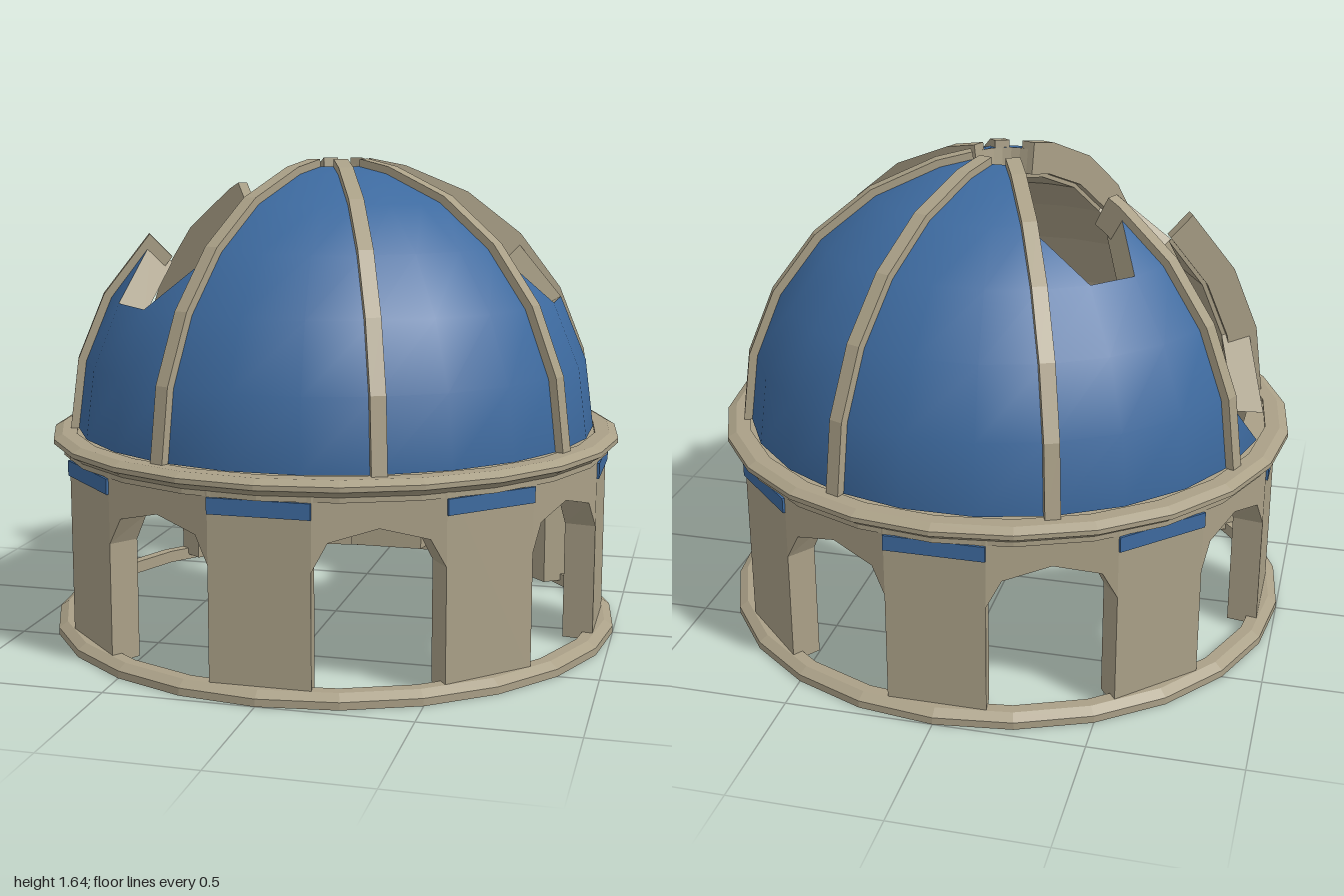
import * as THREE from 'three';

const RAD = Math.PI / 180;
const DOME_Y = 0.71, OUTER = 0.91, INNER = 0.81;
const ROWS = [0, 15, 30, 45, 60, 75, 82.5]; // elevations of the dome rows
const COLS = [-22.5, -7.5, 7.5, 22.5];      // bearings across one panel

const onSphere = (r, bearing, elev) => [
  r * Math.cos(elev * RAD) * Math.sin(bearing * RAD),
  r * Math.sin(elev * RAD),
  r * Math.cos(elev * RAD) * Math.cos(bearing * RAD),
];

// Triangles of one dome panel; from row `hole` upward the panel is broken away
function panelTriangles(hole) {
  const id = (row, col) => row * 4 + col;
  const tris = [];
  for (let r = 0; r < Math.min(hole, 6); r++) {
    for (let c = 0; c < 3; c++) {
      tris.push([id(r, c), id(r, c + 1), id(r + 1, c + 1)], [id(r, c), id(r + 1, c + 1), id(r + 1, c)]);
    }
  }
  if (hole < 6) {
    tris.push([id(hole, 0), id(hole, 1), id(hole + 1, 0)], [id(hole, 2), id(hole, 3), id(hole + 1, 3)]);
  }
  return tris;
}

// Outer skin with spherical normals, and the inner lining with broken edges
function panelGeometries(hole, bearing) {
  const tris = panelTriangles(hole);
  const at = (r, i) => onSphere(r, bearing + COLS[i % 4], ROWS[Math.floor(i / 4)]);
  const edges = new Set(tris.flatMap(([a, b, c]) => [`${a},${b}`, `${b},${c}`, `${c},${a}`]));
  const skin = [], lining = [];
  for (const [a, b, c] of tris) {
    skin.push(...at(OUTER, a), ...at(OUTER, b), ...at(OUTER, c));
    lining.push(...at(INNER, c), ...at(INNER, b), ...at(INNER, a));
    for (const [i, j] of [[a, b], [b, c], [c, a]]) {
      if (edges.has(`${j},${i}`)) continue;
      lining.push(...at(OUTER, j), ...at(OUTER, i), ...at(INNER, i));
      lining.push(...at(OUTER, j), ...at(INNER, i), ...at(INNER, j));
    }
  }
  const skinGeo = new THREE.BufferGeometry();
  skinGeo.setAttribute('position', new THREE.Float32BufferAttribute(skin, 3));
  skinGeo.setAttribute('normal', new THREE.Float32BufferAttribute(skin.map((v) => v / OUTER), 3));
  const liningGeo = new THREE.BufferGeometry();
  liningGeo.setAttribute('position', new THREE.Float32BufferAttribute(lining, 3));
  liningGeo.computeVertexNormals();
  return [skinGeo, liningGeo];
}

const shapeOf = (points) => new THREE.Shape(points.map(([x, y]) => new THREE.Vector2(x, y)));
const extrude = (points, depth) =>
  new THREE.ExtrudeGeometry(shapeOf(points), { depth, bevelEnabled: false });

// Curved rib following the dome up to a given elevation
function ribGeometry(end) {
  const steps = [0, 15, 30, 45, 60, 75].filter((e) => e < end - 2).concat(end);
  const arc = (r) => steps.map((e) => [r * Math.cos(e * RAD), r * Math.sin(e * RAD)]);
  return extrude([...arc(0.935), ...arc(0.825).reverse()], 0.05).translate(0, 0, -0.025);
}

// Faceted moulding ring from a closed profile
function ringGeometry(profile) {
  const pts = [...profile, profile[0]].map(([r, y]) => new THREE.Vector2(r, y));
  const geo = new THREE.LatheGeometry(pts, 24).toNonIndexed();
  geo.computeVertexNormals();
  return geo;
}

export function createModel() {
  const stone = new THREE.MeshStandardMaterial({ color: 0xaaa087 });
  stone.name = 'stone';
  const blue = new THREE.MeshStandardMaterial({ color: 0x3d6a9f });
  blue.name = 'blue roof';

  const model = new THREE.Group();
  model.name = 'ruinedRotunda';
  const add = (name, geo, mat, parent = model) => {
    const mesh = new THREE.Mesh(geo, mat);
    mesh.name = name;
    parent.add(mesh);
    return mesh;
  };

  // Base ring and cornice
  add('baseRing', ringGeometry([[0.93, 0], [1, 0], [1, 0.025], [0.97, 0.045], [0.93, 0.045]]), stone);
  add('cornice', ringGeometry([
    [0.92, 0.638], [0.965, 0.638], [0.965, 0.655], [0.975, 0.664],
    [1, 0.678], [1, 0.694], [0.97, 0.71], [0.92, 0.71],
  ]), stone);

  // Drum: eight piers alternating with eight arches
  const FACE = 0.945, HALF = 0.165, K = 0.89, TOP = 0.7, BOTTOM = 0.02;
  const corner = Math.hypot(FACE, HALF);
  const archAngle = 22.5 * RAD - Math.atan2(HALF, FACE);
  const w = corner * Math.sin(archAngle), archFace = corner * Math.cos(archAngle);

  const pierGeo = extrude([[-HALF, -FACE], [HALF, -FACE], [HALF * K, -FACE * K], [-HALF * K, -FACE * K]], TOP - BOTTOM)
    .rotateX(-Math.PI / 2).translate(0, BOTTOM, 0);
  const archGeo = extrude([
    [-w, 0.42], [-0.76 * w, 0.51], [0, 0.55], [0.76 * w, 0.51], [w, 0.42], [w, TOP], [-w, TOP],
  ], 1);
  // Taper the arch block so its ends meet the piers in a mitre
  const p = archGeo.attributes.position;
  for (let i = 0; i < p.count; i++) {
    const s = p.getZ(i) > 0.5 ? 1 : K;
    p.setXYZ(i, p.getX(i) * s, p.getY(i), archFace * s);
  }
  archGeo.computeVertexNormals();
  const bandGeo = new THREE.BoxGeometry(2 * HALF, 0.052, 0.009).translate(0, 0.61, FACE + 0.0035);

  const drum = new THREE.Group();
  drum.name = 'drum';
  model.add(drum);
  for (let k = 0; k < 8; k++) {
    const turn = k * 45 * RAD;
    add('pier', pierGeo, stone, drum).rotation.y = turn;
    add('pierBand', bandGeo, blue, drum).rotation.y = turn;
    add('arch', archGeo, stone, drum).rotation.y = turn + 22.5 * RAD;
  }

  // Dome: eight panels, counted round from the front, four of them broken
  const dome = new THREE.Group();
  dome.name = 'dome';
  dome.position.y = DOME_Y;
  model.add(dome);
  const holes = { 2: 2, 5: 3, 6: 0, 7: 2 };
  const ribEnds = { 5: 63, 6: 46 };
  for (let k = 0; k < 8; k++) {
    const [skin, lining] = panelGeometries(holes[k] ?? 6, k * 45);
    add('domePanel', skin, blue, dome);
    add('domeLining', lining, stone, dome);
    add('rib', ribGeometry(ribEnds[k] ?? 82.5), stone, dome).rotation.y = (k * 45 + 22.5 - 90) * RAD;
  }
  return model;
}
